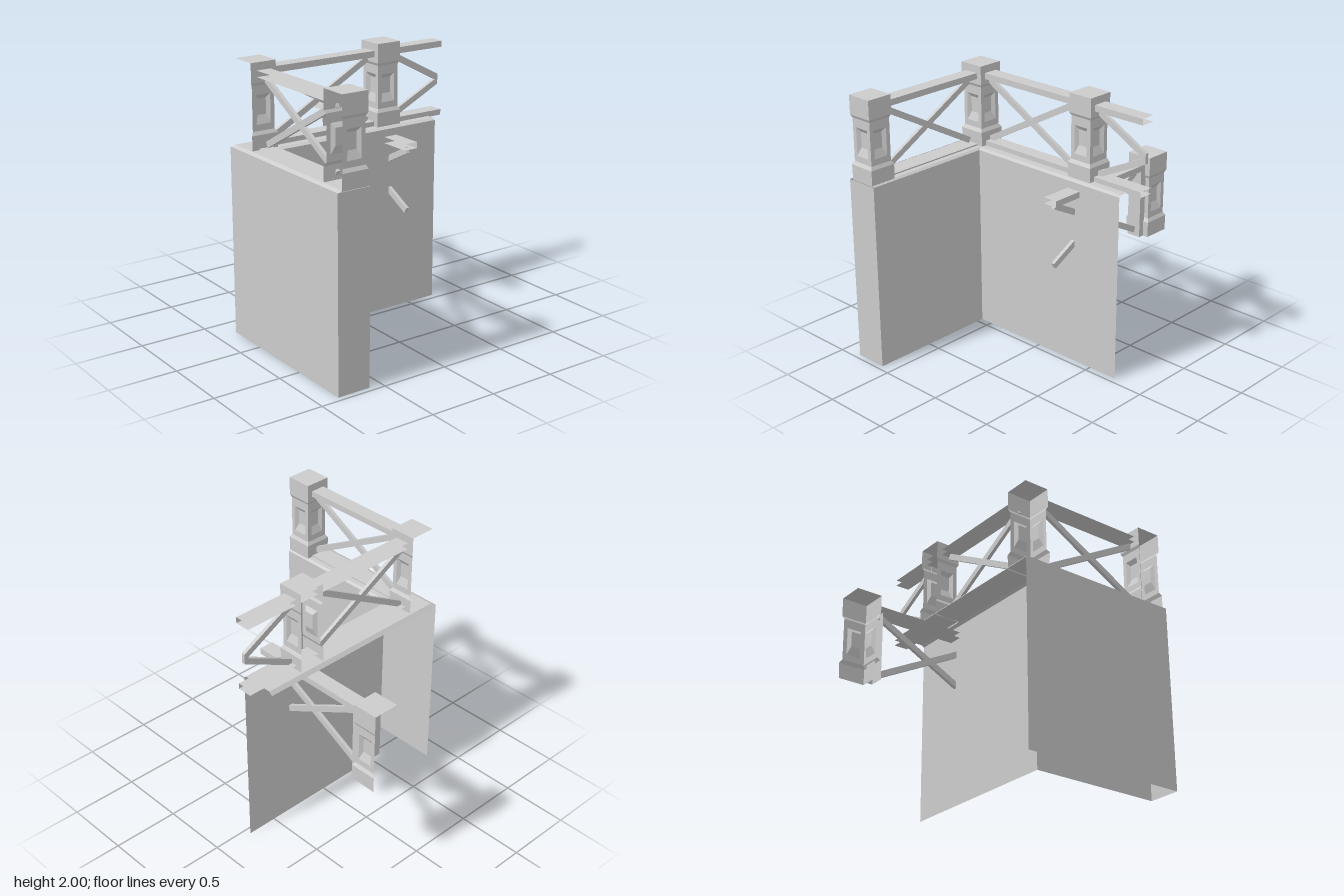
import * as THREE from 'three';

const material = new THREE.MeshStandardMaterial({ color: 0xcccccc, flatShading: true, side: THREE.DoubleSide });

function add(parent, geometry, name) {
  const mesh = new THREE.Mesh(geometry, material);
  mesh.name = name;
  parent.add(mesh);
  return mesh;
}

// Four-cornered sheets, corners counter-clockwise seen from outside
function sheets(quads) {
  const pos = [];
  for (const [a, b, c, d] of quads) pos.push(...a, ...b, ...c, ...a, ...c, ...d);
  const g = new THREE.BufferGeometry();
  g.setAttribute('position', new THREE.Float32BufferAttribute(pos, 3));
  g.computeVertexNormals();
  return g;
}

// One side of a post: flared base, shaft with sunken panel, and cap
const PROFILE = [[0.1, 1.385], [0.102, 1.5], [0.087, 1.525], [0.087, 1.84], [0.098, 1.86], [0.098, 2]];
function postSide() {
  const quads = [];
  const ring = (w, y0, y1, z) => [[-w, y0, z], [w, y0, z], [w, y1, z], [-w, y1, z]];
  PROFILE.slice(1).forEach(([r1, y1], i) => {
    const [r0, y0] = PROFILE[i];
    if (i !== 2) quads.push([[-r0, y0, r0], [r0, y0, r0], [r1, y1, r1], [-r1, y1, r1]]);
  });
  const rings = [ring(0.087, 1.525, 1.84, 0.087), ring(0.056, 1.57, 1.775, 0.087), ring(0.034, 1.63, 1.745, 0.065)];
  for (let k = 0; k < 2; k++) {
    for (let i = 0; i < 4; i++) {
      const j = (i + 1) % 4;
      quads.push([rings[k][i], rings[k][j], rings[k + 1][j], rings[k + 1][i]]);
    }
  }
  quads.push(rings[2]);
  return sheets(quads);
}

// Post with only the listed sides (quarter turns from the +z side)
function addPost(parent, x, y, z, sides) {
  const post = new THREE.Group();
  post.name = 'post';
  post.position.set(x, y, z);
  for (const q of sides) add(post, postSide(), 'postSide').rotation.y = q * Math.PI / 2;
  const top = add(post, new THREE.PlaneGeometry(0.196, 0.196), 'postTop');
  top.rotation.x = -Math.PI / 2;
  top.position.y = 2;
  parent.add(post);
}

// Rail open at the back and the ends
function addRail(parent, x0, x1, y0, y1, name) {
  const f = 0.055, b = -0.055;
  add(parent, sheets([
    [[x0, y0, f], [x1, y0, f], [x1, y1, f], [x0, y1, f]],
    [[x0, y1, f], [x1, y1, f], [x1, y1, b], [x0, y1, b]],
    [[x0, y0, b], [x1, y0, b], [x1, y0, f], [x0, y0, f]],
  ]), name);
}

// Flat bar between two points; plumb gives upright end cuts
function addBrace(parent, x0, y0, x1, y1, plumb = false) {
  const len = Math.hypot(x1 - x0, y1 - y0), h = 0.022;
  const nx = plumb ? 0 : -(y1 - y0) / len * h;
  const ny = plumb ? h * len / (x1 - x0) : (x1 - x0) / len * h;
  const shape = new THREE.Shape([
    [x0 - nx, y0 - ny], [x1 - nx, y1 - ny], [x1 + nx, y1 + ny], [x0 + nx, y0 + ny],
  ].map(p => new THREE.Vector2(...p)));
  const g = new THREE.ExtrudeGeometry(shape, { depth: 0.026, bevelEnabled: false });
  add(parent, g.translate(0, 0, -0.013), 'brace');
}

function addCross(parent, x0, x1) {
  addBrace(parent, x0, 1.435, x1, 1.885);
  addBrace(parent, x0, 1.885, x1, 1.435);
}

function addBay(parent, name, x, y, z, turn) {
  const bay = new THREE.Group();
  bay.name = name;
  bay.position.set(x, y, z);
  bay.rotation.y = turn;
  parent.add(bay);
  return bay;
}

export function createModel() {
  const model = new THREE.Group();
  model.name = 'cornerWallWithRailing';

  // Wall sheets of the L plan; the back and the right end stay open
  const path = [[-0.845, -0.32], [-0.845, 0.96], [-0.597, 0.96], [-0.597, -0.05], [0.73, -0.05]];
  add(model, sheets(path.slice(1).map(([x1, z1], i) => {
    const [x0, z0] = path[i];
    return [[x0, 0, z0], [x1, 0, z1], [x1, 1.382, z1], [x0, 1.382, z0]];
  })), 'wall');

  // Coping lines: outer lip, outer top, inner top, inner lip
  const lines = [
    { x: -0.845, z: -0.322, y: 1.37 }, { x: -0.815, z: -0.298, y: 1.395 },
    { x: -0.615, z: -0.075, y: 1.395 }, { x: -0.597, z: -0.05, y: 1.382 },
  ];
  const coping = [];
  for (let i = 0; i < 3; i++) {
    const [a, b] = [lines[i], lines[i + 1]];
    coping.push([[a.x, a.y, 0.96], [b.x, b.y, 0.96], [b.x, b.y, b.z], [a.x, a.y, a.z]]);
    coping.push([[a.x, a.y, a.z], [b.x, b.y, b.z], [0.73, b.y, b.z], [0.73, a.y, a.z]]);
  }
  add(model, sheets(coping), 'coping');

  // Railing along the back, with a cut-off half bay on the right
  const back = addBay(model, 'backRailing', 0, 0, -0.185, 0);
  addRail(back, -0.61, 0.845, 1.9, 1.945, 'topRail');
  addRail(back, -0.61, 0.845, 1.388, 1.43, 'bottomRail');
  addCross(back, -0.61, 0.205);
  addBrace(back, 0.43, 1.885, 0.845, 1.665, true);
  addBrace(back, 0.43, 1.435, 0.845, 1.64, true);

  // Railing along the side arm
  const arm = addBay(model, 'sideRailing', -0.708, 0, 0.86, Math.PI / 2);
  addRail(arm, 0.1, 0.95, 1.9, 1.945, 'topRail');
  addRail(arm, 0.1, 0.95, 1.388, 1.405, 'bottomRail');
  addCross(arm, 0.095, 0.91);

  // Lower railing that passes through the wall
  const low = addBay(model, 'lowerRailing', 0.322, -0.617, 0.19, Math.PI / 2);
  addRail(low, 0, 0.95, 1.9, 1.945, 'topRail');
  addCross(low, 0.04, 0.905);
  const strut = new THREE.Group();
  strut.name = 'strut';
  strut.rotation.z = Math.PI / 2;
  low.add(strut);
  addRail(strut, 1.385, 1.9, -0.96, -0.908, 'uprightRail');

  // Posts, hollow towards the outside
  addPost(model, -0.71, 0, -0.188, [0, 1]);
  addPost(model, 0.335, 0, -0.188, [0, 1, 3]);
  addPost(model, -0.71, 0, 0.86, [0, 1, 2]);
  addPost(model, 0.32, -0.617, -0.862, [0, 1]);

  return model;
}
